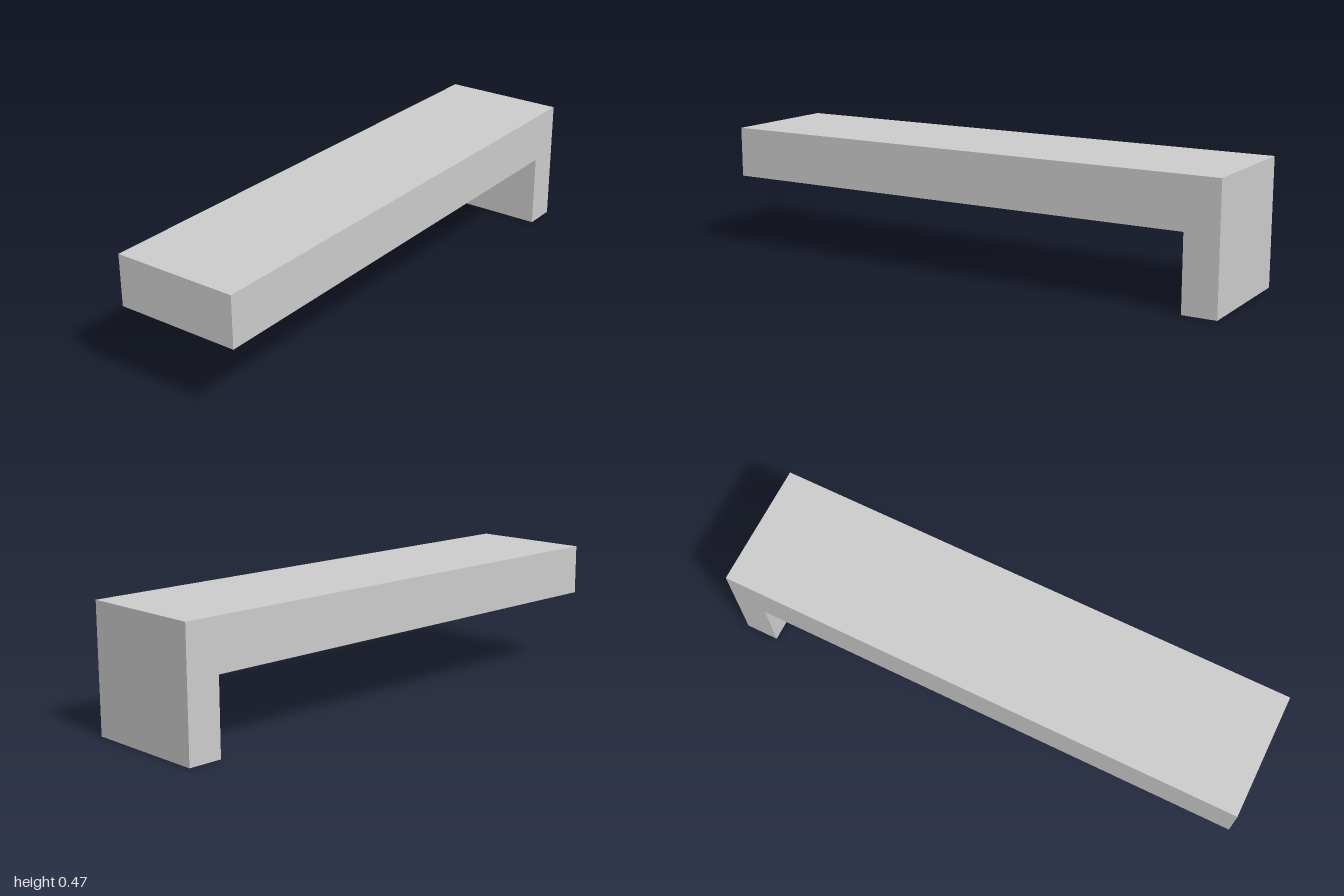
import * as THREE from 'three';

export function createModel() {
  const model = new THREE.Group();
  model.name = 'lippedSlab';

  const height = 0.47, depth = 0.475;
  const underside = 0.28; // bottom of the slab
  const lipInner = 0.873; // inner face of the lip

  // L-shaped side profile: long slab with a downturned lip at the +x end
  const profile = new THREE.Shape([
    [-1, underside], [lipInner, underside], [lipInner, 0],
    [1, 0], [1, height], [-1, height],
  ].map(([x, y]) => new THREE.Vector2(x, y)));

  const geometry = new THREE.ExtrudeGeometry(profile, { depth, bevelEnabled: false });
  geometry.translate(0, 0, -depth / 2);

  const slab = new THREE.Mesh(
    geometry,
    new THREE.MeshStandardMaterial({ color: 0xcccccc, flatShading: true }),
  );
  slab.name = 'slabWithLip';
  model.add(slab);
  return model;
}
